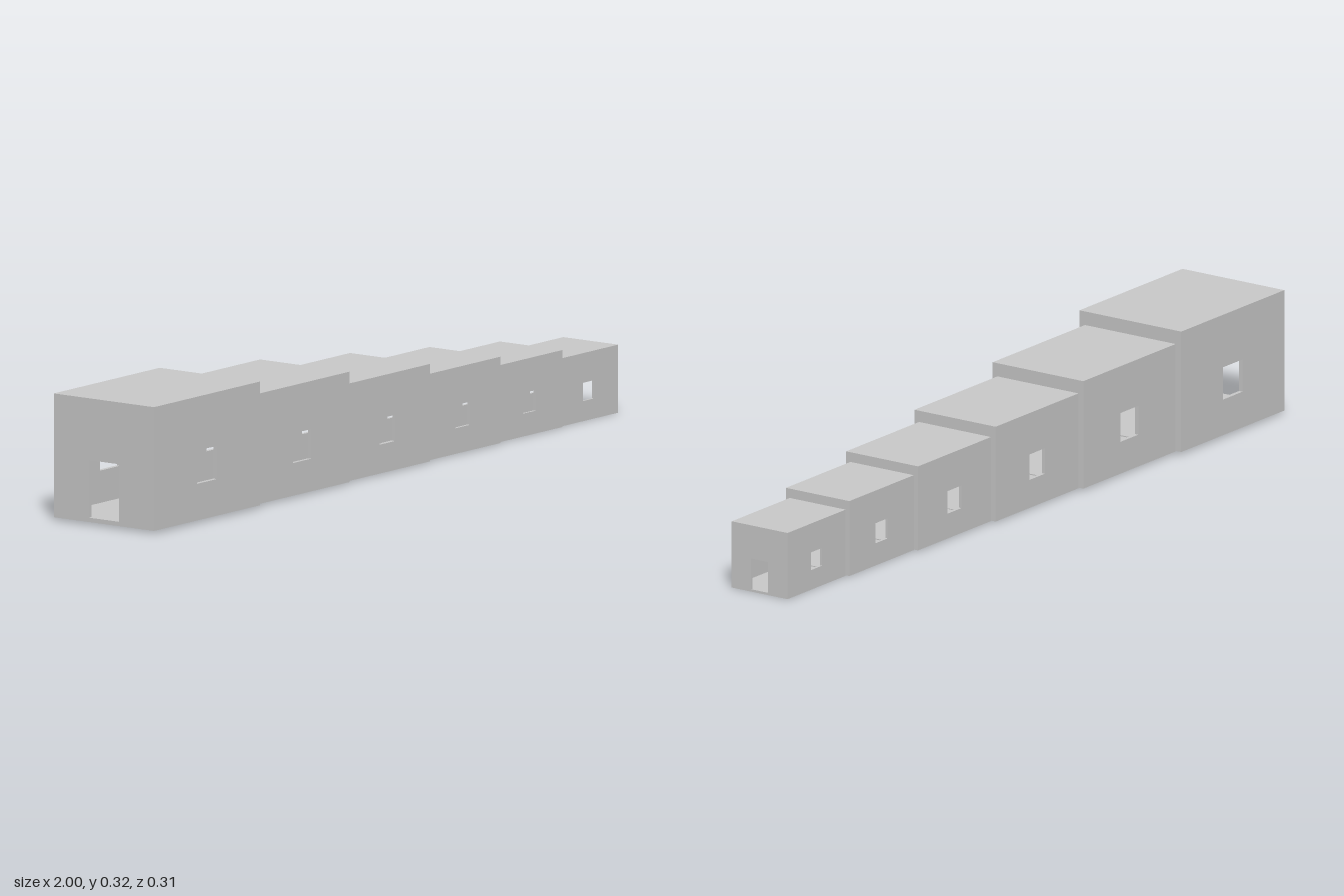
import * as THREE from 'three';

const material = new THREE.MeshStandardMaterial({ color: 0xcccccc, flatShading: true });

// Rectangle outline, usable as a wall shape or as a hole
function rect(target, x0, y0, x1, y1) {
  target.moveTo(x0, y0);
  target.lineTo(x1, y0);
  target.lineTo(x1, y1);
  target.lineTo(x0, y1);
  target.closePath();
  return target;
}

function addMesh(group, name, geometry, x, y, z, turn = 0) {
  const mesh = new THREE.Mesh(geometry, material);
  mesh.name = name;
  mesh.position.set(x, y, z);
  mesh.rotation.y = turn;
  group.add(mesh);
}

// Wall panel centred on its thickness
function panel(shape, thickness) {
  return new THREE.ExtrudeGeometry(shape, { depth: thickness, bevelEnabled: false })
    .translate(0, 0, -thickness / 2);
}

// Hollow room: windows in front and back, doorways in both ends
function createRoom(length, height, depth) {
  const room = new THREE.Group();
  const t = height * 0.035;
  const inner = depth - 2 * t;

  // Long walls with a square window
  const half = height * 0.134;
  const sill = height * 0.43 - half;
  const side = rect(new THREE.Shape(), -length / 2, 0, length / 2, height);
  side.holes.push(rect(new THREE.Path(), -half, sill, half, sill + 2 * half));
  const sideGeometry = panel(side, t);
  addMesh(room, 'frontWall', sideGeometry, 0, 0, depth / 2 - t / 2);
  addMesh(room, 'backWall', sideGeometry, 0, 0, -depth / 2 + t / 2);

  // Floor and roof slabs between the long walls
  const slab = new THREE.BoxGeometry(length, t, inner);
  addMesh(room, 'floor', slab, 0, t / 2, 0);
  addMesh(room, 'roof', slab, 0, height - t / 2, 0);

  // End walls notched by a doorway down to the floor
  const door = height * 0.15;
  const end = new THREE.Shape([
    [-inner / 2, t], [-door, t], [-door, height * 0.5], [door, height * 0.5],
    [door, t], [inner / 2, t], [inner / 2, height - t], [-inner / 2, height - t],
  ].map(([x, y]) => new THREE.Vector2(x, y)));
  const endGeometry = panel(end, t);
  for (const s of [-1, 1]) {
    addMesh(room, s > 0 ? 'leftEndWall' : 'rightEndWall', endGeometry,
      s * (length / 2 - t / 2), 0, 0, Math.PI / 2);
  }
  return room;
}

export function createModel() {
  const model = new THREE.Group();
  model.name = 'roomRow';

  // Row of shrinking rooms: boundaries along x, then base, top and half depth
  const edges = [-1, -0.565, -0.175, 0.175, 0.483, 0.755, 1];
  const bases = [0.007, 0.0055, 0.004, 0.003, 0.0015, 0];
  const tops = [0.318, 0.283, 0.249, 0.22, 0.195, 0.171];
  const halfDepths = [0.155, 0.138, 0.1235, 0.1095, 0.0965, 0.085];

  bases.forEach((base, i) => {
    const room = createRoom(edges[i + 1] - edges[i], tops[i] - base, 2 * halfDepths[i]);
    room.name = `room${i + 1}`;
    room.position.set((edges[i] + edges[i + 1]) / 2, base, 0);
    model.add(room);
  });
  return model;
}
